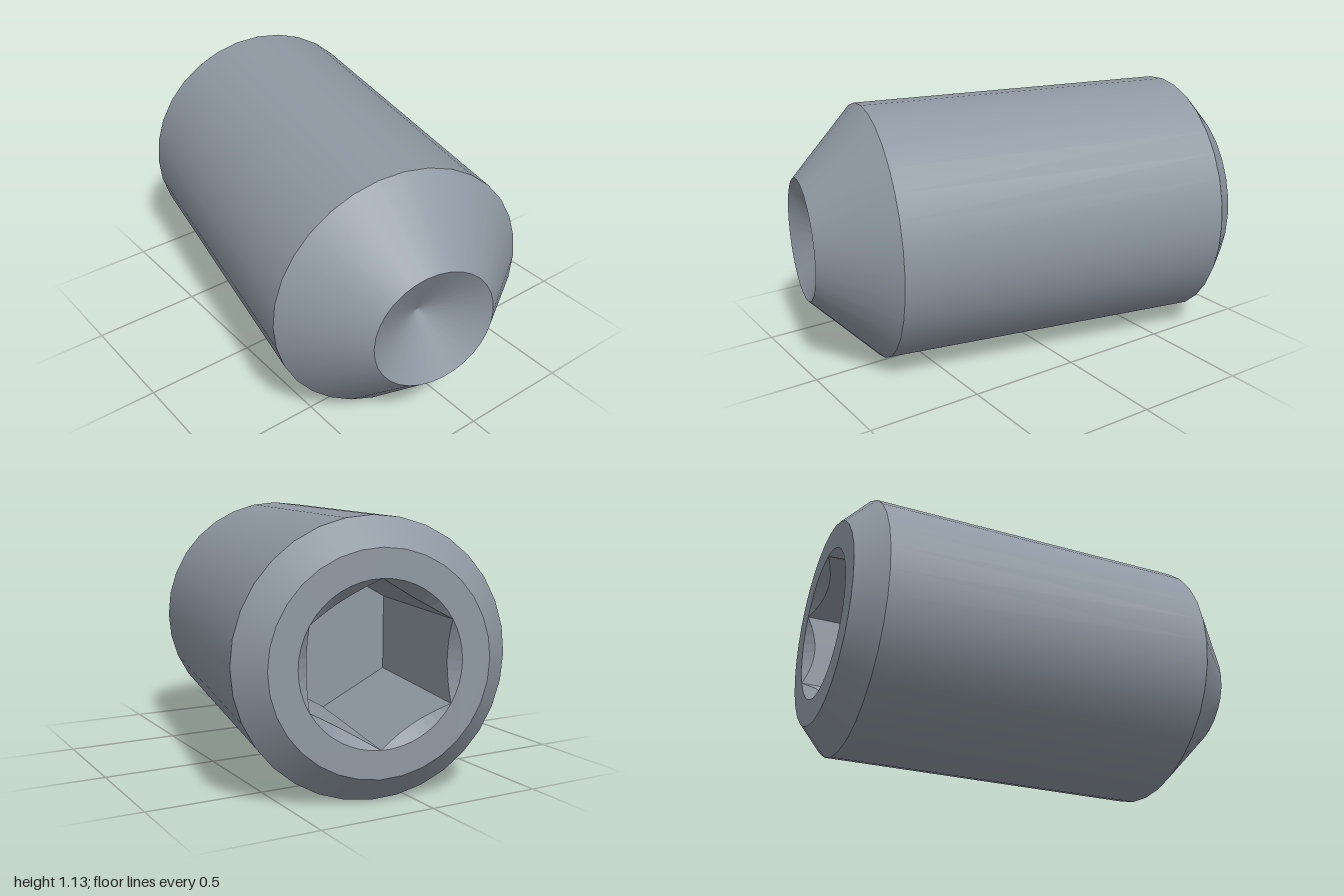
import * as THREE from 'three';

const SIDES = 32;       // facets around the body
const BACK = -0.923;    // socket end, measured along the axis
const FRONT = 0.961;    // cup end
const RIM = 0.333;      // socket mouth radius, equal to the hexagon's corners

const circle = (r, n) => Array.from({ length: n }, (_, i) => {
  const a = (i / n) * Math.PI * 2;
  return new THREE.Vector2(r * Math.cos(a), r * Math.sin(a));
});

// Hexagonal socket: 45 degree countersink, six flat walls and a floor
function socketGeometry(depth) {
  const n = 48, apothem = RIM * Math.cos(Math.PI / 6);
  const rings = [[], [], [], []];
  for (let k = 0; k <= n; k++) {
    const a = (k / n) * Math.PI * 2;
    const hex = apothem / Math.cos((a % (Math.PI / 3)) - Math.PI / 6);
    const at = (r, y) => [r * Math.cos(a), y, r * Math.sin(a)];
    rings[0].push(at(RIM, BACK));
    rings[1].push(at(hex, BACK + RIM - hex));
    rings[2].push(at(hex, BACK + depth));
    rings[3].push(at(0, BACK + depth));
  }
  const pos = [];
  for (let j = 0; j < 3; j++) {
    for (let k = 0; k < n; k++) {
      const a = rings[j][k], b = rings[j][k + 1];
      const c = rings[j + 1][k + 1], d = rings[j + 1][k];
      pos.push(...a, ...b, ...d);
      if (j < 2) pos.push(...b, ...c, ...d);
    }
  }
  const geo = new THREE.BufferGeometry();
  geo.setAttribute('position', new THREE.Float32BufferAttribute(pos, 3));
  geo.computeVertexNormals();
  return geo;
}

export function createModel() {
  const model = new THREE.Group();
  model.name = 'setScrew';
  const steel = new THREE.MeshStandardMaterial({ color: 0x8f98a3 });
  steel.name = 'steel grey';

  const screw = new THREE.Group();
  screw.name = 'screw';
  const add = (name, geo) => {
    const mesh = new THREE.Mesh(geo, steel);
    mesh.name = name;
    screw.add(mesh);
  };

  // Turned surfaces, each separate so the edges between them stay sharp
  const turned = [
    ['backChamfer', [0.45, BACK], [0.567, -0.81]],
    ['body', [0.567, -0.81], [0.567, 0.669]],
    ['frontTaper', [0.567, 0.669], [0.271, FRONT]],
    ['cupPoint', [0.271, FRONT], [0, FRONT - 0.15]],
  ];
  for (const [name, a, b] of turned) {
    add(name, new THREE.LatheGeometry([new THREE.Vector2(...a), new THREE.Vector2(...b)], SIDES));
  }

  // Flat end face around the socket mouth
  const face = new THREE.Shape(circle(0.45, SIDES));
  face.holes.push(new THREE.Path(circle(RIM, 48)));
  add('endFace', new THREE.ShapeGeometry(face).rotateX(Math.PI / 2).translate(0, BACK, 0));

  add('hexSocket', socketGeometry(0.75));

  // Lay the screw on its side, turned 12 degrees
  screw.rotation.set(0, THREE.MathUtils.degToRad(-12), -Math.PI / 2, 'YXZ');
  screw.position.set(-0.002, 0.567, 0.01);
  model.add(screw);
  return model;
}
